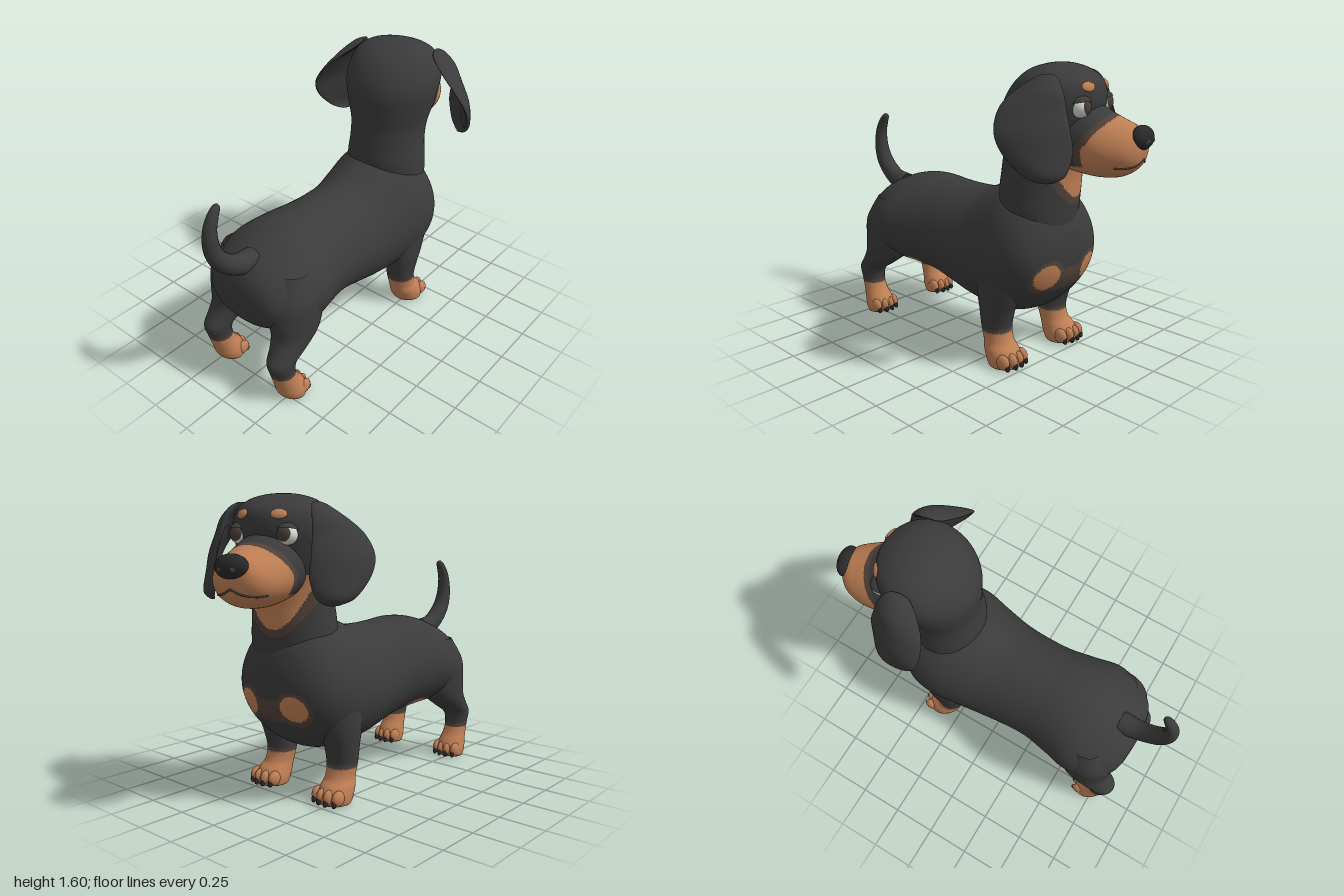
import * as THREE from 'three';

const mat = (name, color) => Object.assign(new THREE.MeshStandardMaterial({ color }), { name });

// Smooth value through four neighbouring rows
const blend = (a, b, c, d, t) =>
  b + 0.5 * t * (c - a + t * (2 * a - 5 * b + 4 * c - d + t * (3 * (b - c) + d - a)));

// Row layouts: each turns an interpolated row and the cos/sin of an angle into a point
const alongX = ([x, lo, hi, w], c, s) =>
  [x, (lo + hi) / 2 + ((hi - lo) / 2) * s, w * c * (1 - 0.1 * s)];
const alongY = ([y, back, front, w, z], c, s) =>
  [(back + front) / 2 + ((front - back) / 2) * c, y, z + w * s];
const alongTail = ([x, y, dir, r], c, s) =>
  [x + Math.sin(dir) * r * c, y - Math.cos(dir) * r * c, r * s];
const alongEar = ([y, fx, fz, bx, bz, t], c, s) => {
  const dx = (fx - bx) / 2, dz = (fz - bz) / 2, len = Math.hypot(dx, dz) || 1;
  const out = t * s + 0.03 * (1 - c * c) * Math.min(1, len / 0.12);
  return [(fx + bx) / 2 + dx * c - (dz / len) * out, y, (fz + bz) / 2 + dz * c + (dx / len) * out];
};

// Point on a lofted surface, u from 0 to 1 along the rows
function surface(rows, place, u, angle) {
  const last = rows.length - 1, f = u * last, i = Math.min(Math.floor(f), last - 1);
  const row = k => rows[Math.min(Math.max(k, 0), last)];
  const r = row(i).map((_, k) => blend(row(i - 1)[k], row(i)[k], row(i + 1)[k], row(i + 2)[k], f - i));
  return place(r, Math.cos(angle), Math.sin(angle));
}

// Closed skin over the rows; rule(x, y, z) picks a material index for each face
function loft(rows, place, steps, sides, rule = () => 0) {
  const pos = [], faces = [];
  for (let i = 0; i <= steps; i++)
    for (let j = 0; j < sides; j++) pos.push(...surface(rows, place, i / steps, (j / sides) * Math.PI * 2));
  const add = (a, b, c) => {
    const mid = k => (pos[a * 3 + k] + pos[b * 3 + k] + pos[c * 3 + k]) / 3;
    const m = rule(mid(0), mid(1), mid(2));
    (faces[m] ??= []).push(a, b, c);
  };
  for (let i = 0; i < steps; i++)
    for (let j = 0; j < sides; j++) {
      const a = i * sides + j, b = i * sides + (j + 1) % sides;
      add(a, a + sides, b);
      add(b, a + sides, b + sides);
    }
  const geo = new THREE.BufferGeometry();
  geo.setAttribute('position', new THREE.Float32BufferAttribute(pos, 3));
  const index = [];
  faces.forEach((list, m) => {
    geo.addGroup(index.length, list.length, m);
    for (const v of list) index.push(v);
  });
  geo.setIndex(index);
  geo.computeVertexNormals();
  return geo;
}

export function createModel() {
  const coat = mat('black coat', 0x3b3b3c), tan = mat('tan fur', 0xbf7f54);
  const edge = mat('brown edge', 0x51423a), claw = mat('claw black', 0x29292b);
  const white = mat('eye white', 0xd9d9d6), iris = mat('iris brown', 0x4a3c34);
  const fur = [coat, tan, edge, claw];
  const dog = new THREE.Group();
  dog.name = 'dog';

  const put = (parent, name, geo, material) => {
    const m = new THREE.Mesh(geo, material);
    m.name = name;
    parent.add(m);
    return m;
  };
  const ball = (parent, name, material, p, size, rot = [0, 0, 0], seg = 16) => {
    const m = put(parent, name, new THREE.SphereGeometry(1, seg, seg * 0.75), material);
    m.position.set(...p);
    m.scale.set(...size);
    m.rotation.set(...rot);
    return m;
  };

  // Body, with chest and belly markings: rows are x, low, high, half width
  const body = [
    [-0.835, 0.59, 0.59, 0], [-0.834, 0.56, 0.62, 0.05], [-0.822, 0.48, 0.69, 0.16],
    [-0.785, 0.42, 0.76, 0.24], [-0.7, 0.38, 0.82, 0.305], [-0.55, 0.35, 0.875, 0.345],
    [-0.4, 0.335, 0.893, 0.315], [-0.25, 0.32, 0.885, 0.288], [-0.1, 0.285, 0.88, 0.288],
    [0.05, 0.25, 0.89, 0.3], [0.2, 0.235, 0.945, 0.322], [0.35, 0.25, 0.99, 0.345],
    [0.48, 0.31, 0.965, 0.33], [0.57, 0.4, 0.88, 0.265], [0.62, 0.49, 0.77, 0.165],
    [0.634, 0.57, 0.68, 0.06], [0.635, 0.62, 0.62, 0],
  ];
  put(dog, 'body', loft(body, alongX, 150, 112, (x, y, z) => {
    const az = Math.abs(z);
    if (x > 0.35) {
      if (Math.hypot((az - 0.16) / 0.075, (y - 0.525) / 0.07) < 1) return 1;
      if (Math.hypot((az - 0.155) / 0.1, (y - 0.52) / 0.095) < 1) return 2;
      return az < 0.155 && y > 0.44 && y < 0.56 ? 2 : 0;
    }
    const belly = Math.hypot((x + 0.38) / 0.115, (y - 0.33) / 0.085);
    return belly < 1 ? 1 : belly < 1.15 ? 2 : 0;
  }), fur);

  // Tail: rows are x, y, heading, radius
  put(dog, 'tail', loft([
    [-0.7, 0.775, 3.1, 0.065], [-0.82, 0.805, 2.75, 0.055], [-0.915, 0.885, 2.2, 0.05],
    [-0.957, 0.98, 1.75, 0.043], [-0.957, 1.08, 1.35, 0.035], [-0.93, 1.15, 1.1, 0.028],
    [-0.902, 1.19, 0.95, 0.018], [-0.893, 1.2, 0.95, 0],
  ], alongTail, 48, 24), coat);

  // Legs: rows are y, back, front, half width, side
  const frontLeg = [
    [0, 0.39, 0.39, 0, 0.235], [0, 0.31, 0.46, 0.08, 0.235], [0.012, 0.29, 0.475, 0.094, 0.235],
    [0.05, 0.27, 0.475, 0.096, 0.235], [0.09, 0.255, 0.45, 0.089, 0.235], [0.13, 0.245, 0.412, 0.08, 0.23],
    [0.2, 0.228, 0.395, 0.084, 0.228], [0.3, 0.215, 0.42, 0.09, 0.232], [0.4, 0.2, 0.46, 0.1, 0.232],
    [0.55, 0.2, 0.5, 0.1, 0.228], [0.7, 0.25, 0.45, 0.06, 0.2],
  ];
  const hindLeg = [
    [0, -0.7, -0.7, 0, 0.24], [0, -0.76, -0.65, 0.07, 0.24], [0.012, -0.78, -0.635, 0.083, 0.24],
    [0.05, -0.8, -0.63, 0.085, 0.24], [0.09, -0.81, -0.645, 0.078, 0.24], [0.14, -0.825, -0.682, 0.069, 0.24],
    [0.2, -0.842, -0.7, 0.067, 0.24], [0.27, -0.858, -0.68, 0.075, 0.24], [0.33, -0.822, -0.59, 0.09, 0.235],
    [0.4, -0.79, -0.5, 0.11, 0.225], [0.5, -0.79, -0.46, 0.125, 0.215], [0.62, -0.775, -0.46, 0.125, 0.21],
    [0.75, -0.7, -0.52, 0.09, 0.19],
  ];
  const sock = (x, y) => (y < 0.007 ? 3 : y < 0.18 ? 1 : y < 0.203 ? 2 : 0);
  for (const side of [1, -1]) {
    const legs = new THREE.Group();
    legs.name = side > 0 ? 'leftLegs' : 'rightLegs';
    legs.scale.z = side;
    dog.add(legs);
    for (const [name, rows, tip, spread] of [['frontLeg', frontLeg, 0.455, 1], ['hindLeg', hindLeg, -0.65, 0.9]]) {
      put(legs, name, loft(rows, alongY, 72, 40, sock), fur);
      for (const k of [-1.5, -0.5, 0.5, 1.5]) {
        const z = 0.237 + k * 0.047 * spread, x = tip - Math.abs(k) * 0.014;
        ball(legs, 'toe', tan, [x, 0.045, z], [0.042, 0.042, 0.027 * spread]);
        ball(legs, 'claw', claw, [x + 0.03, 0.025, z], [0.017, 0.024, 0.013], [0, 0, 0.3], 10);
      }
    }
  }

  // Head and neck, turned a little to one side
  const head = new THREE.Group();
  head.name = 'head';
  head.position.x = 0.47;
  head.rotation.y = 0.235;
  dog.add(head);
  put(head, 'skullAndNeck', loft([
    [0.7, -0.22, 0.13, 0.22, 0], [0.85, -0.255, 0.145, 0.235, 0], [0.95, -0.265, 0.155, 0.228, 0],
    [1.05, -0.255, 0.165, 0.218, 0], [1.15, -0.245, 0.19, 0.222, 0], [1.25, -0.25, 0.23, 0.245, 0],
    [1.35, -0.25, 0.262, 0.265, 0], [1.43, -0.225, 0.278, 0.268, 0], [1.51, -0.17, 0.262, 0.24, 0],
    [1.565, -0.1, 0.19, 0.182, 0], [1.592, -0.02, 0.11, 0.095, 0], [1.6, 0.045, 0.045, 0, 0],
  ], alongY, 110, 112, (x, y, z) => {
    if (x < 0.02 || y > 1.2) return 0;
    return y > 0.92 + 6 * z * z ? 1 : y > 0.88 + 4.5 * z * z ? 2 : 0;
  }), fur);

  // Muzzle with a tan mask, nose and mouth line
  const muzzle = [
    [0.05, 1.1, 1.36, 0.16], [0.15, 1.065, 1.42, 0.185], [0.24, 1.05, 1.41, 0.19],
    [0.32, 1.047, 1.37, 0.185], [0.4, 1.058, 1.335, 0.163], [0.46, 1.09, 1.31, 0.13],
    [0.495, 1.135, 1.285, 0.08], [0.51, 1.21, 1.21, 0],
  ];
  put(head, 'muzzle', loft(muzzle, alongX, 84, 80, (x, y) => {
    const d = x - 0.25 - Math.max(0, y - 1.2) * 0.75;
    return d > 0 || y < 1.11 ? 1 : d > -0.04 ? 2 : 0;
  }), fur);
  const lip = [];
  for (let s = -1; s <= 1.001; s += 0.125)
    lip.push(new THREE.Vector3(...surface(muzzle, alongX, 0.89 - 0.31 * s * s, -Math.PI / 2 + s)));
  put(head, 'mouthLine', new THREE.TubeGeometry(new THREE.CatmullRomCurve3(lip), 48, 0.005, 8), edge);
  ball(head, 'nose', claw, [0.487, 1.257, 0], [0.053, 0.06, 0.09], [0, 0, 0.15], 28);

  // Paired face parts
  const ear = [
    [1.06, 0.16, 0.355, 0.16, 0.355, 0], [1.066, 0.195, 0.333, 0.125, 0.379, 0.012],
    [1.1, 0.234, 0.297, 0.076, 0.432, 0.022], [1.2, 0.251, 0.27, -0.017, 0.467, 0.025],
    [1.3, 0.239, 0.275, -0.068, 0.46, 0.025], [1.4, 0.21, 0.265, -0.082, 0.395, 0.028],
    [1.47, 0.191, 0.255, -0.052, 0.318, 0.032], [1.53, 0.155, 0.235, 0.01, 0.24, 0.03],
    [1.553, 0.12, 0.22, 0.055, 0.22, 0.015], [1.556, 0.09, 0.215, 0.088, 0.215, 0],
  ];
  for (const side of [1, -1]) {
    const half = new THREE.Group();
    half.name = side > 0 ? 'leftFace' : 'rightFace';
    half.scale.z = side;
    head.add(half);
    put(half, 'ear', loft(ear, alongEar, 54, 40), coat);
    ball(half, 'browSpot', tan, [0.245, 1.495, 0.105], [0.013, 0.026, 0.041], [0, -0.42, 0.5]);
    ball(half, 'nostril', edge, [0.529, 1.245, 0.038], [0.008, 0.013, 0.017], [0, -0.4, 0], 10);

    const eye = new THREE.Group();
    eye.name = 'eye';
    eye.position.set(0.222, 1.398, 0.136);
    eye.rotation.y = -0.2;
    half.add(eye);
    ball(eye, 'eyeball', white, [0, 0, 0], [0.05, 0.05, 0.052], [0, 0, 0], 24);
    const pupil = put(eye, 'iris', new THREE.SphereGeometry(0.053, 24, 8, 0, Math.PI * 2, 0, 0.78), iris);
    pupil.rotation.set(0, 0.15, -Math.PI / 2 + 0.12);
    const lid = put(eye, 'upperLid', new THREE.SphereGeometry(0.06, 24, 10, 0, Math.PI * 2, 0, 1.2), coat);
    lid.material.side = THREE.DoubleSide;
    lid.rotation.z = 0.2;
  }
  return dog;
}
